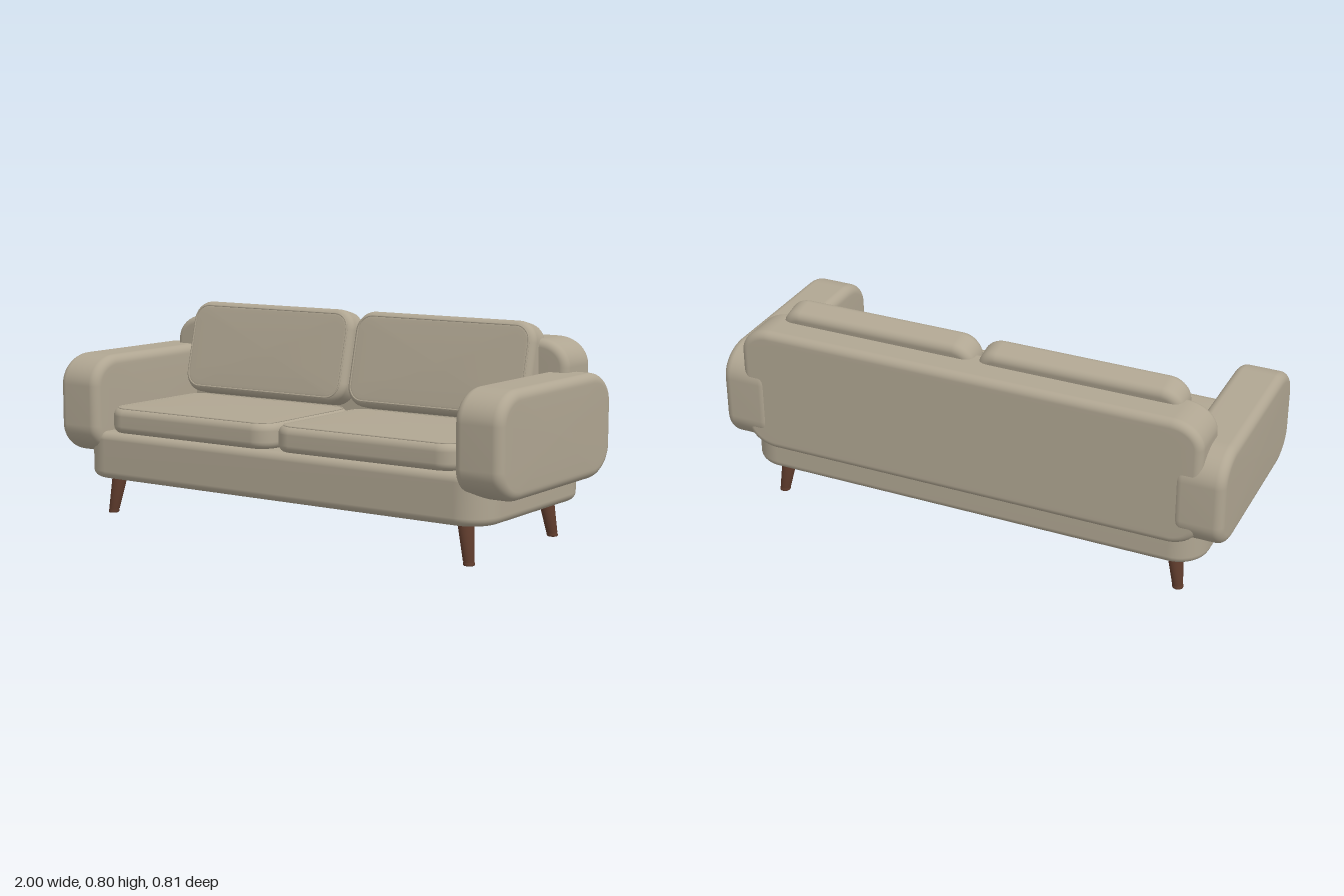
import * as THREE from 'three';

// Counter-clockwise outline of a rounded rectangle, given its half sizes and corner radii
function outline(hw, hh, rx, ry) {
  const pts = [], n = 10;
  const corners = [[1, -1], [1, 1], [-1, 1], [-1, -1]];
  corners.forEach(([sx, sy], c) => {
    for (let i = 0; i <= n; i++) {
      const a = (c - 1 + i / n) * Math.PI / 2;
      pts.push([sx * (hw - rx) + rx * Math.cos(a), sy * (hh - ry) + ry * Math.sin(a)]);
    }
  });
  return pts;
}

// Upholstered slab: rounded outline in xy, soft edges and slightly domed faces along z
function slab(w, h, d, rx, ry, edge, dome) {
  const rings = [], steps = 8;
  const ring = (inset, scale, z) => rings.push(
    outline(w / 2 - inset, h / 2 - inset, Math.max(rx - inset, 0.005), Math.max(ry - inset, 0.005))
      .map(([x, y]) => [x * scale, y * scale, z]));
  const capScales = [0, 0.3, 0.6, 0.8, 0.93];
  const capZ = s => d / 2 + dome * (1 - s * s);
  capScales.forEach(s => ring(edge, s, -capZ(s)));
  for (let i = steps; i >= 0; i--) {
    const a = i / steps * Math.PI / 2;
    ring(edge * (1 - Math.cos(a)), 1, -(d / 2 - edge + edge * Math.sin(a)));
  }
  for (let i = 0; i <= steps; i++) {
    const a = i / steps * Math.PI / 2;
    ring(edge * (1 - Math.cos(a)), 1, d / 2 - edge + edge * Math.sin(a));
  }
  [...capScales].reverse().forEach(s => ring(edge, s, capZ(s)));

  const n = rings[0].length, index = [];
  for (let i = 0; i < rings.length - 1; i++) {
    for (let j = 0; j < n; j++) {
      const a = i * n + j, b = i * n + (j + 1) % n;
      index.push(a, b, b + n, a, b + n, a + n);
    }
  }
  const geo = new THREE.BufferGeometry();
  geo.setAttribute('position', new THREE.Float32BufferAttribute(rings.flat(2), 3));
  geo.setIndex(index);
  geo.computeVertexNormals();
  return geo;
}

// Thin piping that runs around the front edge of a slab
function piping(w, h, d, r, edge) {
  const a = 1.23, inset = edge * (1 - Math.cos(a));
  const z = d / 2 - edge + edge * Math.sin(a);
  const pts = outline(w / 2 - inset, h / 2 - inset, r - inset, r - inset)
    .map(([x, y]) => new THREE.Vector3(x, y, z));
  const path = new THREE.CurvePath();
  pts.forEach((p, i) => path.add(new THREE.LineCurve3(p, pts[(i + 1) % pts.length])));
  return new THREE.TubeGeometry(path, 160, 0.0035, 6, true);
}

export function createModel() {
  const fabric = new THREE.MeshStandardMaterial({ color: 0xb0a692 });
  fabric.name = 'beige fabric';
  const wood = new THREE.MeshStandardMaterial({ color: 0x5e3b2c });
  wood.name = 'dark wood';

  const sofa = new THREE.Group();
  sofa.name = 'sofa';
  const add = (parent, name, geo, material) => {
    const mesh = new THREE.Mesh(geo, material);
    mesh.name = name;
    parent.add(mesh);
    return mesh;
  };

  // Base and backrest
  const base = add(sofa, 'base', slab(1.83, 0.755, 0.185, 0.12, 0.12, 0.03, 0), fabric);
  base.rotation.x = -Math.PI / 2;
  base.position.set(0, 0.2375, -0.003);
  const back = add(sofa, 'backrest', slab(1.82, 0.5, 0.188, 0.12, 0.1, 0.03, 0), fabric);
  back.position.set(0, 0.49, -0.306);

  // Cushion with piping
  const cushion = (name, w, h, d, r, edge, dome) => {
    const group = new THREE.Group();
    group.name = name;
    add(group, name + 'Body', slab(w, h, d, r, r, edge, dome), fabric);
    add(group, name + 'Piping', piping(w, h, d, r, edge), fabric);
    sofa.add(group);
    return group;
  };

  for (const side of [1, -1]) {
    const label = side > 0 ? 'left' : 'right';

    // Armrest
    const arm = add(sofa, label + 'Armrest', slab(0.81, 0.386, 0.19, 0.14, 0.115, 0.035, 0.0025), fabric);
    arm.rotation.y = Math.PI / 2;
    arm.position.set(side * 0.9025, 0.43, 0);

    // Seat and back cushions
    const seat = cushion(label + 'SeatCushion', 0.788, 0.57, 0.1, 0.08, 0.03, 0.004);
    seat.rotation.x = -Math.PI / 2;
    seat.position.set(side * 0.4, 0.376, 0.08);
    const rest = cushion(label + 'BackCushion', 0.788, 0.37, 0.112, 0.08, 0.03, 0.004);
    rest.rotation.x = -0.24;
    rest.position.set(side * 0.4, 0.616, -0.2);

    // Tapered legs with a grooved foot, splayed outwards
    for (const end of [1, -1]) {
      const profile = [[0, 0], [0.019, 0], [0.0205, 0.002], [0.0205, 0.01], [0.0185, 0.012],
        [0.0205, 0.014], [0.031, 0.16], [0, 0.16]].map(p => new THREE.Vector2(...p));
      const geo = new THREE.LatheGeometry(profile, 24);
      geo.applyMatrix4(new THREE.Matrix4().set(
        1, -0.16 * side, 0, side * 0.817,
        0, 1, 0, 0,
        0, -0.1 * end, 1, end * 0.3,
        0, 0, 0, 1));
      add(sofa, label + (end > 0 ? 'FrontLeg' : 'BackLeg'), geo, wood);
    }
  }
  return sofa;
}
